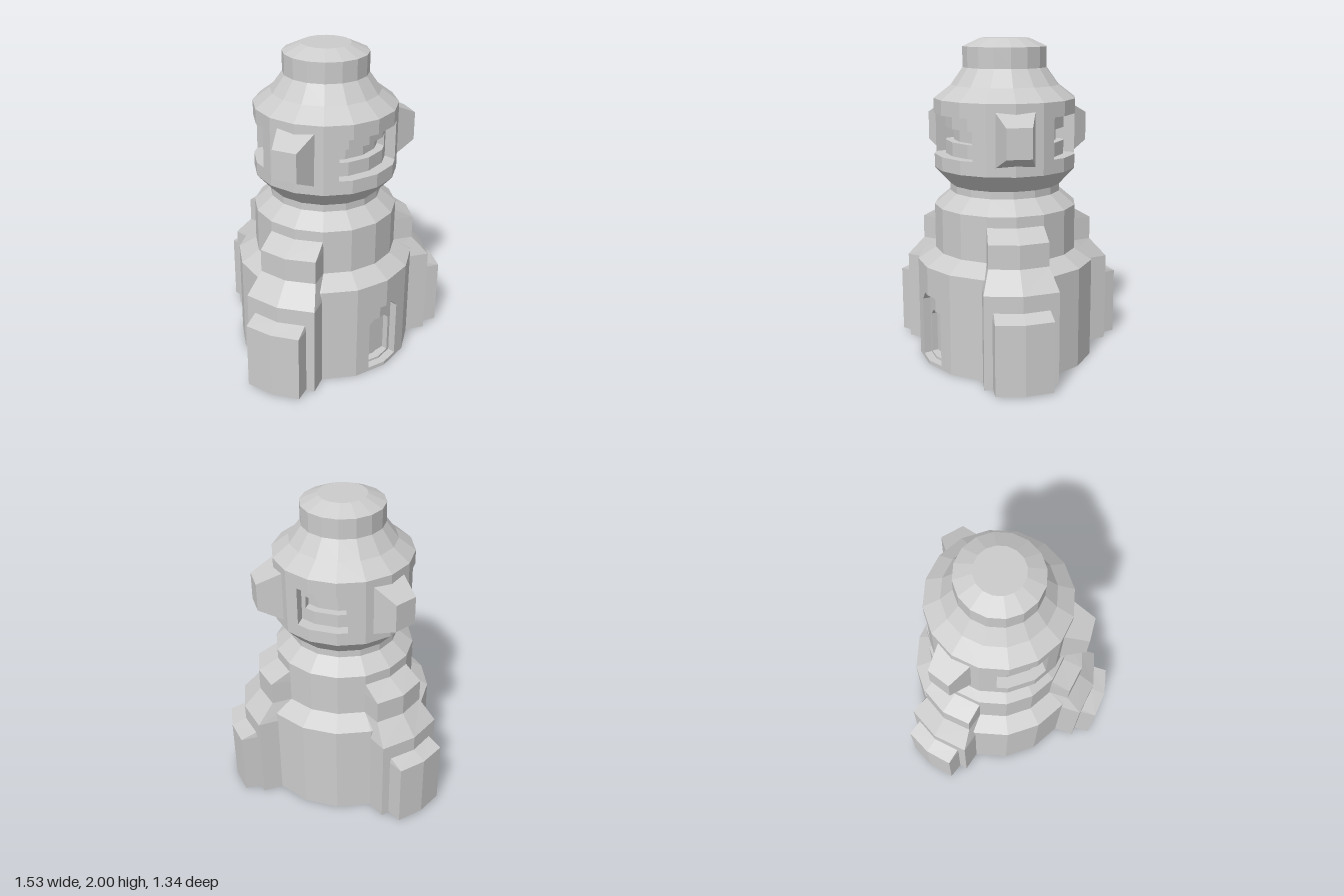
import * as THREE from 'three';

const SIDES = 16;
const STEP = (Math.PI * 2) / SIDES;
const DEG = Math.PI / 180;
const WINGS = [67.5, -67.5, 180]; // headings of buttresses and pods, from the front
const mat = new THREE.MeshStandardMaterial({ color: 0xcccccc, flatShading: true });

function add(parent, name, geometry) {
  const mesh = new THREE.Mesh(geometry, mat);
  mesh.name = name;
  parent.add(mesh);
  return mesh;
}

function lathe(profile, segments = SIDES, start = 0, length = Math.PI * 2) {
  return new THREE.LatheGeometry(profile.map(p => new THREE.Vector2(...p)), segments, start, length);
}

// Skin closed rings [y, [[x, z], ...]] stacked upwards, with end caps
function loft(rings) {
  const n = rings[0][1].length, pos = [], idx = [];
  for (const [y, pts] of rings) for (const [x, z] of pts) pos.push(x, y, z);
  for (let r = 0; r < rings.length - 1; r++) {
    for (let i = 0; i < n; i++) {
      const a = r * n + i, b = r * n + (i + 1) % n;
      idx.push(a, b, b + n, a, b + n, a + n);
    }
  }
  const top = (rings.length - 1) * n;
  for (let i = 1; i < n - 1; i++) {
    idx.push(top, top + i, top + i + 1);
    idx.push(0, i + 1, i);
  }
  const g = new THREE.BufferGeometry();
  g.setAttribute('position', new THREE.Float32BufferAttribute(pos, 3));
  g.setIndex(idx);
  g.computeVertexNormals();
  return g;
}

// Buttress ring: bent outer face of half width w, corners at zc, middle at zm
const bentRing = (y, w, zc, zm, wi = w, zi = 0.3) =>
  [y, [[-wi, zi], [-w, zc], [0, zm], [w, zc], [wi, zi]]];

// Radius of the 16-sided outline at any angle
function polyRadius(r, a) {
  const m = ((a % STEP) + STEP) % STEP;
  return r * Math.cos(STEP / 2) / Math.cos(m - STEP / 2);
}

// One horizontal slice of the head, notched by the three viewing slots
function headSlice(y0, y1, hasSlit) {
  const pts = [];
  const push = (r, a) => {
    const R = polyRadius(r, a);
    pts.push(new THREE.Vector2(R * Math.sin(a), -R * Math.cos(a)));
  };
  const walk = (r, from, to) => {
    push(r, from);
    for (let k = Math.floor(from / STEP) + 1; k * STEP < to - 1e-6; k++) {
      if (k * STEP > from + 1e-6) push(r, k * STEP);
    }
    push(r, to);
  };
  const R = 0.44, RECESS = 0.37, SLIT = 0.32;
  const slots = [[-122.5, 0.16, 0.13], [0, 0.24, 0.2], [122.5, 0.16, 0.13]];
  slots.forEach(([deg, h, s], i) => {
    const a = deg * DEG;
    const outer = Math.asin(h / R), inner = Math.asin(h / RECESS);
    if (hasSlit) {
      const so = Math.asin(s / RECESS), si = Math.asin(s / SLIT);
      walk(RECESS, a - inner, a - so);
      walk(SLIT, a - si, a + si);
      walk(RECESS, a + so, a + inner);
    } else {
      walk(RECESS, a - inner, a + inner);
    }
    const next = slots[(i + 1) % 3];
    const nextAngle = next[0] * DEG + (i === 2 ? Math.PI * 2 : 0);
    walk(R, a + outer, nextAngle - Math.asin(next[1] / R));
  });
  const g = new THREE.ExtrudeGeometry(new THREE.Shape(pts), { depth: y1 - y0, bevelEnabled: false });
  return g.rotateX(-Math.PI / 2).translate(0, y0, 0);
}

// Half of the front wall around an arched opening, following the bend at x = 0
function doorPanel(w, y0, spring, top, flat, front, depth) {
  const edge = 0.557 * Math.sin(STEP);
  const slope = (0.557 - 0.557 * Math.cos(STEP)) / edge;
  const pts = [[0, 0.63], [0, top], [flat, top], [w, spring], [w, y0], [0, y0], [0, 0], [edge, 0], [edge, 0.63]];
  const shape = new THREE.Shape(pts.map(p => new THREE.Vector2(...p)));
  const g = new THREE.ExtrudeGeometry(shape, { depth, bevelEnabled: false });
  const p = g.attributes.position;
  for (let i = 0; i < p.count; i++) {
    p.setZ(i, p.getZ(i) + 0.557 - front - depth - slope * p.getX(i));
  }
  return g;
}

export function createModel() {
  const root = new THREE.Group();
  root.name = 'tower';
  const tower = new THREE.Group();
  tower.name = 'towerBody';
  tower.position.z = 0.11;
  root.add(tower);

  // Base drum, leaving the two front facets for the doorway
  add(tower, 'baseDrum', lathe([[0.557, 0], [0.557, 0.63]], SIDES - 2, STEP, Math.PI * 2 - 2 * STEP));
  add(tower, 'baseFloor', lathe([[0, 0], [0.557, 0]]));

  // Doorway: two stepped arches and a back wall
  for (const side of [1, -1]) {
    const outer = add(tower, 'doorSurround', doorPanel(0.12, 0.025, 0.39, 0.45, 0.06, 0, 0.05));
    const inner = add(tower, 'doorFrame', doorPanel(0.095, 0.04, 0.29, 0.335, 0.04, 0.05, 0.05));
    outer.scale.x = inner.scale.x = side;
  }
  add(tower, 'door', new THREE.BoxGeometry(0.22, 0.36, 0.02).translate(0, 0.19, 0.44));

  // Body, neck and lower head
  add(tower, 'bodyAndNeck', lathe([
    [0.557, 0.63], [0.445, 0.7], [0.445, 0.98], [0.345, 1.065], [0.345, 1.11],
    [0.44, 1.215], [0.44, 1.3], [0, 1.3],
  ]));

  // Head with recessed slots
  add(tower, 'headLowerBand', headSlice(1.3, 1.385, false));
  add(tower, 'headSlitBand', headSlice(1.385, 1.465, true));
  add(tower, 'headUpperBand', headSlice(1.465, 1.55, false));

  // Roof and cap
  add(tower, 'roof', lathe([
    [0, 1.55], [0.44, 1.55], [0.44, 1.64], [0.335, 1.72], [0.26, 1.825],
    [0.26, 1.95], [0.15, 2], [0, 2],
  ]));

  // Buttresses and head pods
  for (const deg of WINGS) {
    const wing = new THREE.Group();
    wing.name = 'wing';
    wing.rotation.y = deg * DEG;
    tower.add(wing);

    add(wing, 'buttress', loft([
      bentRing(0, 0.222, 0.642, 0.687, 0.2),
      bentRing(0.575, 0.222, 0.642, 0.687, 0.2),
      bentRing(0.7, 0.18, 0.535, 0.575, 0.168),
      bentRing(0.845, 0.18, 0.535, 0.575, 0.168),
      bentRing(0.915, 0.17, 0.41, 0.44, 0.165),
    ]));
    add(wing, 'buttressFoot', loft([
      bentRing(0.01, 0.172, 0.755, 0.782),
      bentRing(0.44, 0.172, 0.755, 0.782),
      bentRing(0.475, 0.165, 0.65, 0.685),
    ]));

    const pod = new THREE.BoxGeometry(0.236, 0.326, 0.155);
    const p = pod.attributes.position;
    for (let i = 0; i < p.count; i++) {
      if (p.getZ(i) > 0) p.setXY(i, p.getX(i) * 0.64, p.getY(i) * 0.55);
    }
    add(wing, 'headPod', pod.translate(0, 1.43, 0.488));
  }
  return root;
}
